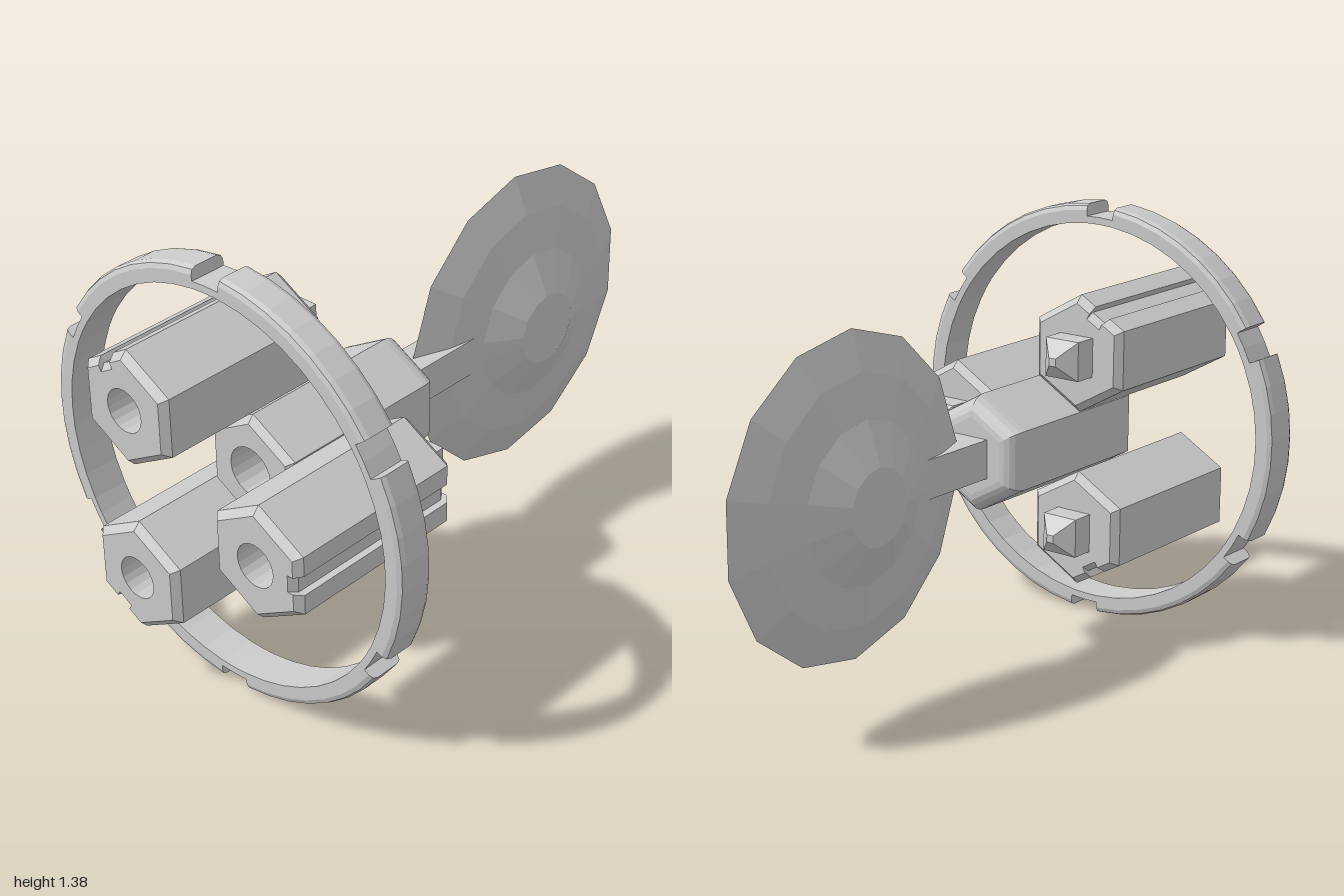
import * as THREE from 'three';

const grey = new THREE.MeshStandardMaterial({ color: 0xcccccc, flatShading: true, side: THREE.DoubleSide });
const rad = THREE.MathUtils.degToRad;

function part(name, geometry, parent) {
  const mesh = new THREE.Mesh(geometry, grey);
  mesh.name = name;
  parent.add(mesh);
  return mesh;
}

// Hexagon with corners at top and bottom, optionally with a groove in its +x face
function hexOutline(grooved) {
  const pts = [];
  for (let i = 0; i < 6; i++) {
    const a = rad(-30 + i * 60);
    pts.push(new THREE.Vector2(0.1875 * Math.cos(a), 0.1875 * Math.sin(a)));
    if (i === 0 && grooved) {
      for (const [x, y] of [[0.1624, -0.031], [0.14, -0.031], [0.14, 0.031], [0.1624, 0.031]]) pts.push(new THREE.Vector2(x, y));
    }
  }
  return pts;
}

// Scaled copies of an outline joined along z; rings = [[z, scale], ...]
function loft(outline, rings) {
  const n = outline.length, pos = [], index = [];
  rings.forEach(([z, s], k) => outline.forEach((p, i) => {
    pos.push(p.x * s, p.y * s, z);
    if (k === 0) return;
    const a = (k - 1) * n + i, b = (k - 1) * n + (i + 1) % n;
    index.push(a, b, b + n, a, b + n, a + n);
  }));
  const g = new THREE.BufferGeometry();
  g.setAttribute('position', new THREE.Float32BufferAttribute(pos, 3));
  g.setIndex(index);
  g.computeVertexNormals();
  return g;
}

// Hexagonal pod along z with a closed front and a round bore in the rear
function makePod(name, outline, rings, bore) {
  const pod = new THREE.Group();
  pod.name = name;
  part('podShell', loft(outline, rings), pod);
  const cap = ([, s]) => new THREE.Shape(outline.map(p => p.clone().multiplyScalar(s)));
  const first = rings[0], last = rings[rings.length - 1];
  part('podFrontFace', new THREE.ShapeGeometry(cap(last)), pod).position.z = last[0];
  const rear = cap(first);
  rear.holes.push(new THREE.Path().absarc(0, 0, bore, 0, Math.PI * 2, true));
  part('podRearFace', new THREE.ShapeGeometry(rear, 10), pod).position.z = first[0];
  const depth = 0.25;
  part('boreWall', new THREE.CylinderGeometry(bore, bore, depth, 20, 1, true).rotateX(Math.PI / 2), pod).position.z = first[0] + depth / 2;
  part('boreFloor', new THREE.CircleGeometry(bore, 20), pod).position.z = first[0] + depth;
  return pod;
}

// Square block with a blunt pyramid tip, pointing along z
function makeNose() {
  const nose = new THREE.Group();
  nose.name = 'engineNose';
  part('noseBlock', new THREE.BoxGeometry(0.124, 0.124, 0.08), nose).position.z = -0.34;
  const tip = new THREE.CylinderGeometry(0.0125 * Math.SQRT2, 0.062 * Math.SQRT2, 0.05, 4);
  tip.rotateY(Math.PI / 4).rotateX(Math.PI / 2);
  part('noseTip', tip, nose).position.z = -0.275;
  return nose;
}

// Ring of six thick arcs with shallow gaps between, turning about y
function makeRing() {
  const ring = new THREE.Group();
  ring.name = 'outerRing';
  const inner = 0.63, outer = 0.692, h = 0.06;
  const toPts = list => list.map(([r, y]) => new THREE.Vector2(r, y));
  const thick = toPts([[inner, -h], [outer - 0.02, -h], [outer - 0.006, -h + 0.006], [outer, -h + 0.02],
    [outer, h - 0.02], [outer - 0.006, h - 0.006], [outer - 0.02, h], [inner, h], [inner, -h]]);
  const thin = toPts([[inner, -h], [0.653, -h], [0.653, h], [inner, h], [inner, -h]]);
  const half = rad(4.4);
  for (let k = 0; k < 6; k++) {
    const mid = rad(28.4 + k * 60), start = mid + half, sweep = rad(60) - 2 * half;
    part('ringGap', new THREE.LatheGeometry(thin, 2, mid - half, 2 * half), ring);
    part('ringArc', new THREE.LatheGeometry(thick, 7, start, sweep), ring);
    for (const phi of [start, start + sweep]) {
      part('ringArcEnd', new THREE.ShapeGeometry(new THREE.Shape(thick.slice(0, -1))).rotateY(phi - Math.PI / 2), ring);
    }
  }
  return ring;
}

export function createModel() {
  const model = new THREE.Group();
  model.name = 'spacecraft';
  const craft = new THREE.Group();
  craft.name = 'craft';
  craft.position.y = 0.694;
  model.add(craft);

  // Pods are built along z, then the whole cluster is turned to face +x
  const cluster = new THREE.Group();
  cluster.name = 'engineCluster';
  cluster.rotation.y = Math.PI / 2;
  craft.add(cluster);

  // Central hub with a rounded front
  const hubRings = [[-0.69, 0.87], [-0.67, 1]];
  for (let i = 0; i <= 5; i++) {
    const a = (i / 5) * Math.PI / 2;
    hubRings.push([-0.12 + 0.06 * Math.sin(a), 1 - 0.33 * (1 - Math.cos(a))]);
  }
  cluster.add(makePod('hub', hexOutline(false), hubRings, 0.08));

  // Three engines around the hub, grooves facing outward, noses upright
  for (const deg of [60, 180, 300]) {
    const a = rad(deg), x = 0.329 * Math.cos(a), y = 0.329 * Math.sin(a);
    const engine = makePod('engine', hexOutline(true), [[-1, 0.87], [-0.977, 1], [-0.398, 1], [-0.375, 0.87]], 0.068);
    engine.position.set(x, y, 0);
    engine.rotation.z = a;
    const nose = makeNose();
    nose.position.set(x, y, 0);
    cluster.add(engine, nose);
  }

  // Ring around the engines
  const ring = makeRing();
  ring.rotation.z = -Math.PI / 2;
  ring.position.x = -0.75;
  craft.add(ring);

  // Neck between hub and disc
  part('neck', new THREE.BoxGeometry(0.38, 0.124, 0.124), craft).position.x = 0.09;

  // Faceted disc: thirteen equal slices and one narrow slice facing the neck
  const lower = [[0, -0.126], [0.12, -0.126], [0.25, -0.07], [0.385, -0.046], [0.503, 0]];
  const upper = lower.slice(0, -1).reverse().map(([r, y]) => [r, -y]);
  const profile = [...lower, ...upper].map(([r, y]) => new THREE.Vector2(r, y));
  const disc = new THREE.Group();
  disc.name = 'disc';
  disc.rotation.x = Math.PI / 2;
  disc.position.x = 0.51;
  const sweep = rad(13 * 26.6), start = rad(90) - sweep / 2;
  part('discBody', new THREE.LatheGeometry(profile, 13, start, sweep), disc);
  part('discSlice', new THREE.LatheGeometry(profile, 1, start + sweep, Math.PI * 2 - sweep), disc);
  craft.add(disc);

  return model;
}
